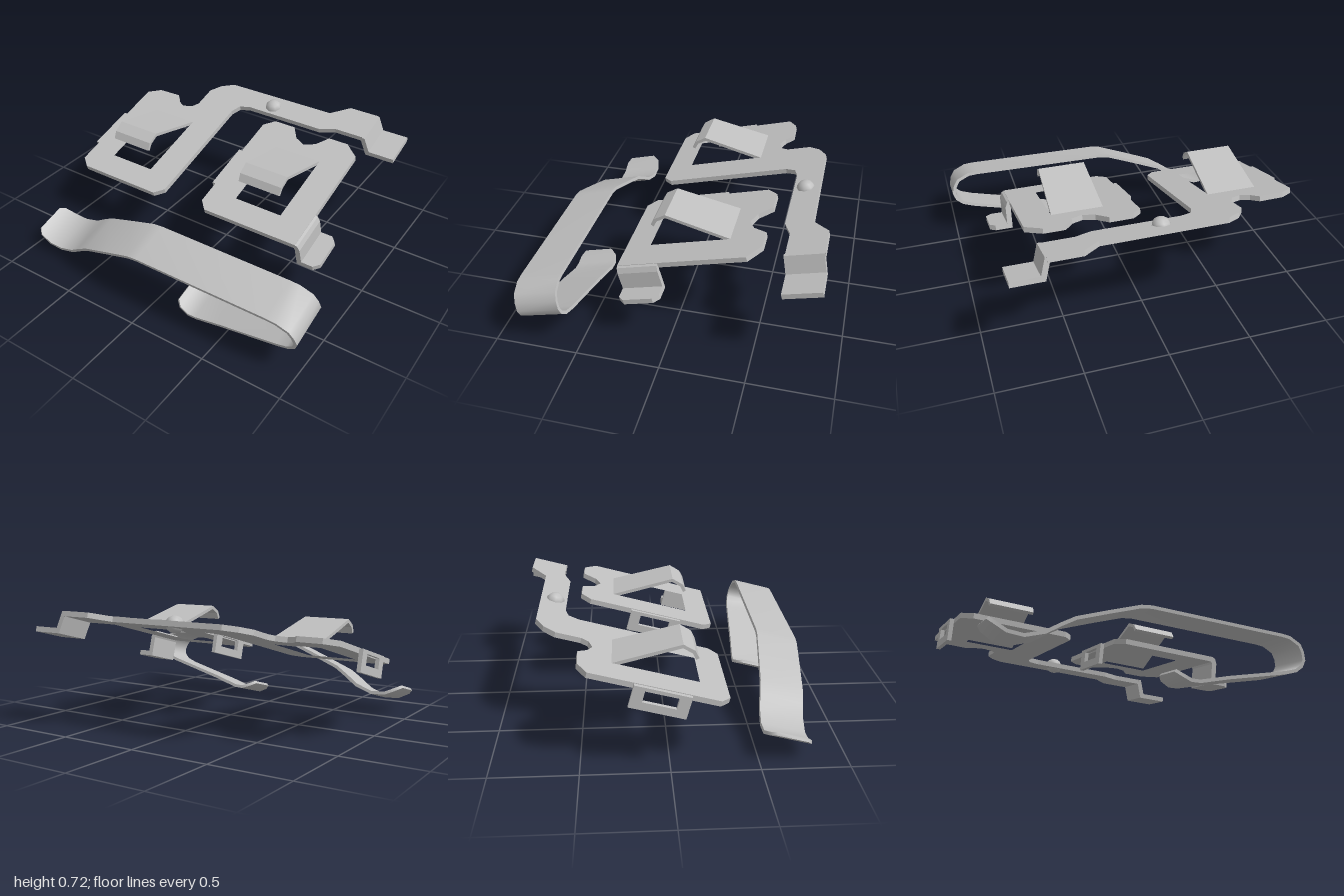
import * as THREE from 'three';
import { toCreasedNormals } from 'three/addons/utils/BufferGeometryUtils.js';

const TILT = Math.PI / 12;
const T = 0.032; // sheet thickness

export function createModel() {
  const metal = new THREE.MeshStandardMaterial({ color: 0xc0c0c0 });
  metal.name = 'greyMetal';
  const model = new THREE.Group();
  model.name = 'metalContacts';
  model.rotation.x = TILT;

  const add = (name, geometry, parent = model) => {
    const mesh = new THREE.Mesh(geometry, metal);
    mesh.name = name;
    parent.add(mesh);
    return mesh;
  };

  // Flat plate: plan outline [x, z] seen from straight above, top at height h
  const plate = (outline, hole, h) => {
    const toLocal = ([x, z]) =>
      new THREE.Vector2(x, -(z - h * Math.sin(TILT)) / Math.cos(TILT));
    const shape = new THREE.Shape(outline.map(toLocal));
    if (hole) shape.holes.push(new THREE.Path(hole.map(toLocal)));
    const g = new THREE.ExtrudeGeometry(shape, { depth: T, bevelEnabled: false });
    return g.rotateX(-Math.PI / 2).translate(0, h - T, 0);
  };

  // Bent sheet: stations [u, v, w0, w1] on its outer side, thickness t
  const band = (stations, t, crease) => {
    const pos = [], index = [];
    const dir = (i) => {
      const a = stations[i], b = stations[i + 1];
      return new THREE.Vector2(b[0] - a[0], b[1] - a[1]).normalize();
    };
    const last = stations.length - 1;
    stations.forEach(([u, v, w0, w1], i) => {
      const d0 = dir(Math.max(i - 1, 0)), d1 = dir(Math.min(i, last - 1));
      const d = d0.clone().add(d1).normalize();
      const k = t / Math.max(d.dot(d0), 0.5);
      const iu = u + d.y * k, iv = v - d.x * k;
      pos.push(u, v, w0, u, v, w1, iu, iv, w1, iu, iv, w0);
    });
    const quad = (a, b, c, d) => index.push(a, b, c, a, c, d);
    for (let i = 0; i < last; i++) {
      for (let k = 0; k < 4; k++) {
        const n = (k + 1) % 4, r = i * 4;
        quad(r + k, r + n, r + 4 + n, r + 4 + k);
      }
    }
    quad(0, 3, 2, 1);
    const e = last * 4;
    quad(e, e + 1, e + 2, e + 3);
    const g = new THREE.BufferGeometry();
    g.setAttribute('position', new THREE.Float32BufferAttribute(pos, 3));
    g.setIndex(index);
    return toCreasedNormals(g, crease);
  };

  // Raised spring tongue growing from the back of a window
  const tongue = (name, cx, h) => {
    const stations = [
      [-0.45, 0.0, 0.157], [-0.098, 0.191, 0.145],
      [-0.024, 0.169, 0.142], [0.009, 0.131, 0.14],
    ].map(([z, y, w]) => [z, y + h, -cx - w, -cx + w]);
    add(name, band(stations, 0.02, 0.2).rotateY(-Math.PI / 2));
  };

  // Small open frame hanging from the left edge of a plate
  const sideFrame = (name, x, h) => {
    const s = new THREE.Shape();
    s.moveTo(0.01, h - 0.137).lineTo(0.33, h - 0.137).lineTo(0.33, h - 0.004).lineTo(0.01, h - 0.004);
    const w = new THREE.Path();
    w.moveTo(0.075, h - 0.09).lineTo(0.265, h - 0.09).lineTo(0.265, h - 0.025).lineTo(0.075, h - 0.025);
    s.holes.push(w);
    const g = new THREE.ExtrudeGeometry(s, { depth: 0.025, bevelEnabled: false });
    add(name, g.rotateY(Math.PI / 2).translate(x - 0.025, 0, 0));
  };

  const rect = (x0, x1, z0, z1) => [[x0, z0], [x1, z0], [x1, z1], [x0, z1]];

  // Right contact with its long arm
  const hA = 0.481, hB = 0.515;
  add('armPlate', plate([
    [-0.975, -0.438], [-0.895, -0.49], [-0.74, -0.495], [-0.7, -0.445], [-0.645, -0.417],
    [-0.58, -0.44], [-0.555, -0.48], [-0.555, -0.625], [-0.505, -0.695], [-0.425, -0.743],
    [0.335, -0.748], [0.44, -0.845], [0.64, -0.845], [0.64, -0.63], [0.44, -0.63],
    [0.335, -0.588], [-0.195, -0.588], [-0.265, -0.567], [-0.293, -0.505], [-0.293, 0.272],
    [-0.345, 0.325], [-0.91, 0.325], [-0.975, 0.272],
  ], rect(-0.795, -0.485, -0.3, 0.17), hA));
  add('armTab', band([
    [0.63, hA, -1.0, -0.775], [0.65, hA, -1.0, -0.775],
    [0.68, 0.377, -0.995, -0.77], [0.85, 0.377, -0.995, -0.77],
  ], T, 0.2));
  tongue('armPlateTongue', -0.64, hA);
  sideFrame('armPlateFrame', -0.975, hA);

  // Rivet dome on the arm
  const rivet = add('rivet', new THREE.SphereGeometry(0.057, 8, 8));
  rivet.scale.y = 0.9;
  rivet.position.set(-0.05, 0.473, -0.81);

  // Left contact
  add('shortPlate', plate([
    [0, -0.44], [0.06, -0.5], [0.205, -0.5], [0.265, -0.42], [0.335, -0.387], [0.405, -0.42],
    [0.46, -0.5], [0.59, -0.5], [0.685, -0.425], [0.685, 0.327], [0.055, 0.33], [0, 0.275],
  ], rect(0.185, 0.5, -0.295, 0.175), hB));
  add('shortPlateTab', band([
    [0.675, hB, -0.05, 0.2], [0.7, hB - 0.008, -0.05, 0.2], [0.713, hB - 0.04, -0.05, 0.2],
    [0.715, 0.37, -0.05, 0.2], [0.79, 0.37, -0.05, 0.2], [0.823, 0.37, -0.015, 0.165],
  ], T, 0.2));
  tongue('shortPlateTongue', 0.343, hB);
  sideFrame('shortPlateFrame', 0, hB);

  // Long folded strap with trimmed tips
  const strap = [
    [-0.94, 0.352, 0.515, 0.7], [-0.915, 0.332, 0.485, 0.73], [-0.845, 0.297], [-0.755, 0.292],
    [-0.648, 0.33], [-0.57, 0.385], [-0.488, 0.437], [-0.3, 0.51], [-0.115, 0.579], [-0.05, 0.589],
    [0.82, 0.598], [0.88, 0.594], [0.957, 0.56], [0.985, 0.515], [0.998, 0.465], [0.982, 0.42],
    [0.94, 0.384], [0.865, 0.358], [0.48, 0.262], [0.295, 0.209], [0.235, 0.206],
    [0.175, 0.231, 0.485, 0.73], [0.145, 0.255, 0.515, 0.7],
  ].map(([x, y, z0 = 0.473, z1 = 0.741]) => [x, y, z0, z1]);
  add('strap', band(strap, 0.02, 0.9));

  const root = new THREE.Group();
  root.name = 'contactSet';
  root.add(model);
  return root;
}
